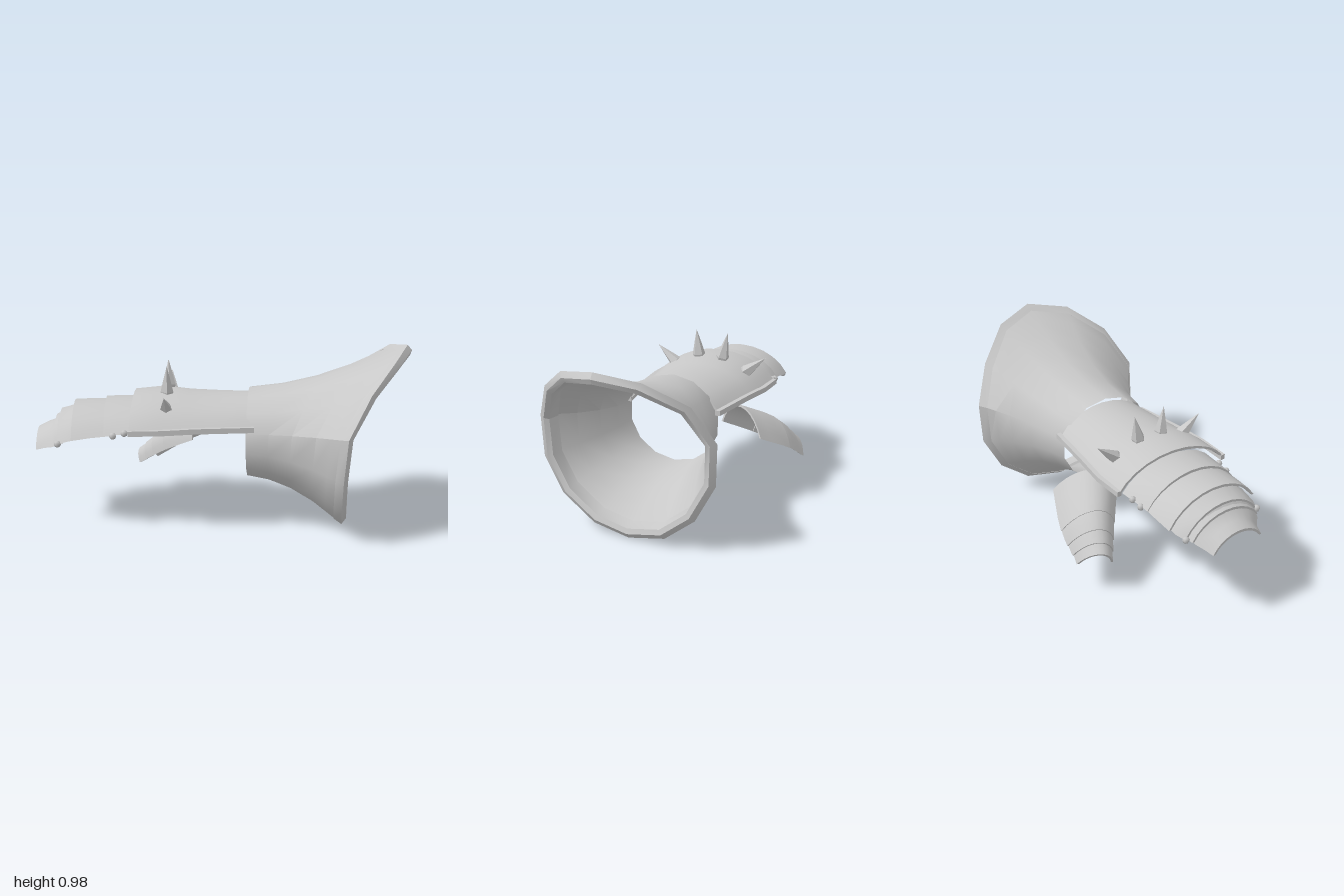
import * as THREE from 'three';
import { toCreasedNormals } from 'three/addons/utils/BufferGeometryUtils.js';

const V = (x, y, z) => new THREE.Vector3(x, y, z);

// Skin a row of equal-length closed rings; capped rings close by pairing opposite points.
function loft(rings, capped, crease = 0.6) {
  const n = rings[0].length, pos = [], idx = [];
  rings.forEach(r => r.forEach(p => pos.push(p.x, p.y, p.z)));
  const quad = (a, b, c, d) => idx.push(a, b, c, a, c, d);
  for (let i = 0; i < rings.length - 1; i++) {
    for (let j = 0; j < n; j++) {
      const k = (j + 1) % n;
      quad(i * n + j, i * n + k, (i + 1) * n + k, (i + 1) * n + j);
    }
  }
  if (capped) {
    const e = (rings.length - 1) * n;
    for (let j = 0; j < n / 2 - 1; j++) {
      quad(j, n - 1 - j, n - 2 - j, j + 1);
      quad(e + j, e + j + 1, e + n - 2 - j, e + n - 1 - j);
    }
  }
  const g = new THREE.BufferGeometry();
  g.setAttribute('position', new THREE.Float32BufferAttribute(pos, 3));
  g.setIndex(idx);
  return toCreasedNormals(g, crease);
}

// Closed section of an arched plate from edge a, over the crown, to edge b.
function arch(a, crown, b, t = 0.014, n = 10) {
  const A = 1.13, mid = a.clone().lerp(b, 0.5);
  const half = b.clone().sub(a).multiplyScalar(0.5), rise = crown.clone().sub(mid);
  const outer = [], inner = [];
  const kw = 1 - t / half.length(), kr = t / rise.length();
  for (let i = 0; i <= n; i++) {
    const q = -A + 2 * A * i / n;
    const s = Math.sin(q) / Math.sin(A), c = (Math.cos(q) - Math.cos(A)) / (1 - Math.cos(A));
    outer.push(mid.clone().addScaledVector(half, s).addScaledVector(rise, c));
    inner.push(mid.clone().addScaledVector(half, s * kw).addScaledVector(rise, c - kr * Math.max(c, 0)));
  }
  return outer.concat(inner.reverse());
}

export function createModel() {
  const model = new THREE.Group();
  const steel = new THREE.MeshStandardMaterial({ color: 0xc8c8c8, side: THREE.DoubleSide });
  steel.name = 'steel';
  const add = (name, geo, parent = model) => {
    const m = new THREE.Mesh(geo, steel);
    m.name = name;
    parent.add(m);
    return m;
  };

  // Flared cuff: fourteen-sided, reaching further along the top
  const rim = [
    [0.97, 0.975, 0.08], [0.91, 0.93, -0.145], [0.78, 0.795, -0.34], [0.70, 0.595, -0.445],
    [0.69, 0.37, -0.435], [0.69, 0.17, -0.325], [0.675, 0.04, -0.155], [0.65, 0, 0.055],
    [0.625, 0.04, 0.26], [0.605, 0.17, 0.445], [0.60, 0.36, 0.55], [0.62, 0.59, 0.555],
    [0.74, 0.795, 0.46], [0.88, 0.93, 0.295]];
  const rimRing = (k, dx) => rim.map(([x, y, z]) =>
    V(x + dx, 0.49 + (y - 0.49) * k, 0.05 + (z - 0.05) * k));
  const wrist = rim.map((_, i) => {
    const a = i / 14 * Math.PI * 2, z = 0.015 - 0.265 * Math.sin(a);
    return V(0.14 - 0.1 * z, 0.49 + 0.24 * Math.cos(a), z);
  });
  const flareEnd = rimRing(0.94, -0.035);
  const flare = [[0, 0], [0.25, 0.1], [0.5, 0.3], [0.75, 0.6], [0.9, 0.84], [1, 1]].map(([s, f]) =>
    wrist.map((w, i) => V(
      w.x + (flareEnd[i].x - w.x) * s,
      w.y + (flareEnd[i].y - w.y) * f,
      w.z + (flareEnd[i].z - w.z) * f)));
  add('cuff', loft(flare, false));
  add('cuffRim', loft([rimRing(0.94, -0.04), rimRing(1, 0), rimRing(0.94, 0.025),
    rimRing(0.885, 0.015), rimRing(0.86, -0.06)], false, 0.5));

  // Arched plates over the hand: [x, front z, back z, edge y, crown y]
  const plate = (name, rows, skew = 0) => add(name, loft(rows.map(([x, zf, zb, ye, yc]) =>
    arch(V(x - skew, ye, zf), V(x, yc, (zf + zb) / 2), V(x + skew, ye, zb))), true));
  plate('handPlate', [
    [-0.475, 0.315, -0.35, 0.56, 0.705], [-0.32, 0.315, -0.345, 0.56, 0.722],
    [-0.18, 0.3, -0.32, 0.565, 0.705], [0, 0.28, -0.28, 0.57, 0.7],
    [0.16, 0.27, -0.25, 0.572, 0.7]], 0.02);
  plate('knucklePlate', [
    [-0.63, 0.255, -0.305, 0.53, 0.665], [-0.55, 0.26, -0.31, 0.54, 0.668],
    [-0.44, 0.27, -0.315, 0.545, 0.665]]);
  plate('upperFingerPlate', [
    [-0.80, 0.25, -0.305, 0.505, 0.648], [-0.70, 0.25, -0.305, 0.52, 0.652],
    [-0.60, 0.25, -0.3, 0.53, 0.65]]);
  plate('middleFingerPlate', [
    [-0.875, 0.205, -0.265, 0.475, 0.6], [-0.83, 0.22, -0.285, 0.49, 0.61],
    [-0.77, 0.225, -0.29, 0.505, 0.63]]);
  plate('fingerBand', [[-0.9, 0.19, -0.24, 0.462, 0.57], [-0.85, 0.2, -0.25, 0.475, 0.59]]);
  plate('fingertipPlate', [
    [-1, 0.125, -0.19, 0.42, 0.502], [-0.95, 0.14, -0.205, 0.435, 0.528],
    [-0.91, 0.18, -0.225, 0.45, 0.543], [-0.87, 0.2, -0.235, 0.468, 0.592]]);

  // Raised trim bars along both lower edges of the hand plate
  const trim = (name, path) => add(name, loft(path.map(([x, y, z]) => [
    V(x, y - 0.014, z - 0.013), V(x, y + 0.014, z - 0.013),
    V(x, y + 0.014, z + 0.013), V(x, y - 0.014, z + 0.013)]), true, 0.3));
  trim('frontTrim', [[-0.5, 0.56, 0.305], [-0.32, 0.565, 0.313], [-0.15, 0.57, 0.3], [0.155, 0.568, 0.27]]);
  trim('backTrim', [[-0.455, 0.56, -0.345], [-0.28, 0.565, -0.342], [-0.1, 0.57, -0.31], [0.2, 0.568, -0.255]]);

  // Hinge rivets on both sides
  const rivets = new THREE.Group();
  rivets.name = 'rivets';
  model.add(rivets);
  const ball = new THREE.SphereGeometry(0.019, 6, 4);
  [[-0.875, 0.475, 0.205, -0.26], [-0.58, 0.533, 0.257, -0.307], [-0.52, 0.548, 0.26, -0.312]]
    .forEach(([x, y, zf, zb]) => [zf, zb].forEach(z => add('rivet', ball, rivets).position.set(x, y, z)));

  // Five-sided spikes fanned across the knuckles: base point and tip point
  const spikes = new THREE.Group();
  spikes.name = 'spikes';
  model.add(spikes);
  const spikeGeo = toCreasedNormals(new THREE.LatheGeometry(
    [[0, -0.02], [0.022, -0.02], [0.036, 0.035], [0.02, 0.1], [0, 0.175]].map(p => new THREE.Vector2(...p)), 5), 0.3);
  [[V(-0.3, 0.635, 0.16), V(-0.31, 0.74, 0.29)], [V(-0.3, 0.685, 0.045), V(-0.3, 0.86, 0.062)],
    [V(-0.29, 0.685, -0.09), V(-0.295, 0.86, -0.125)], [V(-0.28, 0.635, -0.215), V(-0.28, 0.74, -0.345)]]
    .forEach(([base, tip]) => {
      const s = add('spike', spikeGeo, spikes);
      s.position.copy(base);
      s.quaternion.setFromUnitVectors(V(0, 1, 0), tip.sub(base).normalize());
    });

  // Thumb: overlapping arched plates along three guide curves
  const curve = (...p) => new THREE.CatmullRomCurve3(p.map(q => V(...q)));
  const inner = curve([-0.17, 0.39, -0.14], [-0.33, 0.29, -0.28], [-0.475, 0.18, -0.4]);
  const crown = curve([-0.12, 0.515, -0.27], [-0.31, 0.405, -0.395], [-0.465, 0.255, -0.48]);
  const outer = curve([0.01, 0.385, -0.43], [-0.2, 0.275, -0.53], [-0.37, 0.172, -0.555]);
  [[0, 0.5, 'thumbBasePlate'], [0.44, 0.72, 'thumbMiddlePlate'],
    [0.66, 0.87, 'thumbUpperPlate'], [0.82, 1, 'thumbTipPlate']].forEach(([s0, s1, name], i) => {
    const rows = [];
    for (let k = 0; k <= 3; k++) {
      const s = s0 + (s1 - s0) * k / 3;
      const a = inner.getPoint(s), c = crown.getPoint(s), b = outer.getPoint(s);
      const mid = a.clone().lerp(b, 0.5), shrink = 1 - 0.03 * i * (1 - k / 3);
      rows.push(arch(...[a, c, b].map(p => p.sub(mid).multiplyScalar(shrink).add(mid)), 0.012));
    }
    add(name, loft(rows, true));
  });
  return model;
}
